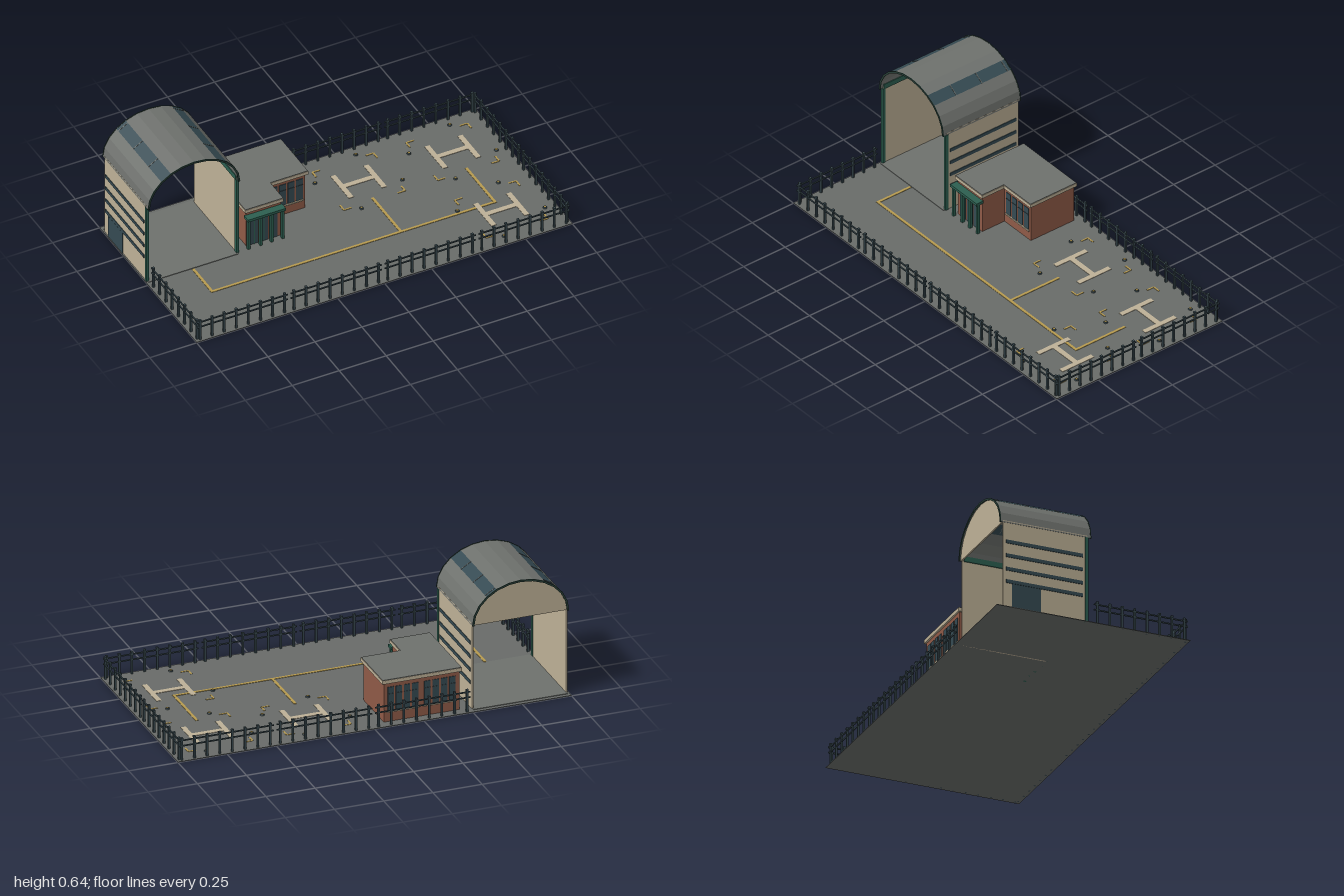
import * as THREE from 'three';

const mat = (name, color) => {
  const m = new THREE.MeshStandardMaterial({ color });
  m.name = name;
  return m;
};

export function createModel() {
  const M = {
    tarmac: mat('tarmac', 0x686b68),
    roof: mat('roof grey', 0x6e716d),
    cream: mat('cream', 0xbdb096),
    brick: mat('brick', 0x8f5a47),
    glass: mat('dark glass', 0x354a52),
    green: mat('green steel', 0x2c5f50),
    rim: mat('dark rim', 0x263c35),
    fence: mat('fence steel', 0x37474d),
    gold: mat('yellow paint', 0xb5994f),
  };
  const root = new THREE.Group();
  root.name = 'airfield';
  const group = (name, parent = root) => {
    const g = new THREE.Group();
    g.name = name;
    parent.add(g);
    return g;
  };
  const add = (parent, name, geo, m) => {
    const mesh = new THREE.Mesh(geo, m);
    mesh.name = name;
    parent.add(mesh);
    return mesh;
  };
  // Box given by its minimum and maximum on each axis
  const box = (parent, name, m, x0, x1, y0, y1, z0, z1) => {
    const b = add(parent, name, new THREE.BoxGeometry(x1 - x0, y1 - y0, z1 - z0), m);
    b.position.set((x0 + x1) / 2, (y0 + y1) / 2, (z0 + z1) / 2);
    return b;
  };
  const extrude = (parent, name, m, pts, z0, z1) => {
    const shape = new THREE.Shape(pts.map(p => new THREE.Vector2(p[0], p[1])));
    const e = add(parent, name, new THREE.ExtrudeGeometry(shape, { depth: z1 - z0, bevelEnabled: false }), m);
    e.position.z = z0;
    return e;
  };

  // Ground
  box(root, 'ground', M.tarmac, -1, 1, 0, 0.003, -0.5, 0.5);

  // Painted lines
  const paint = group('groundMarkings');
  const mark = (m, x0, x1, z0, z1, parent = paint) => box(parent, 'paintedLine', m, x0, x1, 0.003, 0.005, z0, z1);
  mark(M.gold, -0.762, -0.748, -0.01, 0.178);
  mark(M.gold, -0.762, 0.757, 0.178, 0.192);
  for (const x of [0.25, 0.75]) mark(M.gold, x - 0.007, x + 0.007, -0.11, 0.178);

  // Landing pads
  for (const [cx, cz] of [[0.25, -0.25], [0.75, -0.25], [0.75, 0.25]]) {
    const pad = group('landingPad');
    pad.position.set(cx, 0.0005, cz);
    for (const s of [-1, 1]) mark(M.cream, s * 0.088 - 0.013, s * 0.088 + 0.013, -0.095, 0.095, pad);
    mark(M.cream, -0.075, 0.075, -0.014, 0.014, pad);
    for (const sx of [-1, 1]) for (const sz of [-1, 1]) {
      const X = sx * 0.163, Z = sz * 0.163, x2 = X - sx * 0.04, z2 = Z - sz * 0.04;
      mark(M.gold, Math.min(X, x2), Math.max(X, x2), Z - 0.004, Z + 0.004, pad);
      mark(M.gold, X - 0.004, X + 0.004, Math.min(Z, z2), Math.max(Z, z2), pad);
    }
    for (const [x, z] of [[-0.19, -0.083], [0.083, -0.19], [0.19, 0.083], [-0.083, 0.19]]) {
      const base = add(pad, 'padLight', new THREE.CylinderGeometry(0.009, 0.011, 0.006, 8), M.fence);
      base.position.set(x, 0.006, z);
      const lens = add(pad, 'padLightLens', new THREE.CylinderGeometry(0.006, 0.006, 0.002, 8), M.gold);
      lens.position.set(x, 0.01, z);
    }
  }

  // Hangar
  const hangar = group('hangar');
  const cx = -0.75, eave = 0.44;
  const at = (i, n, rx, ry) => {
    const a = Math.PI * i / n;
    return [cx + rx * Math.cos(a), eave + ry * Math.sin(a)];
  };
  box(hangar, 'hangarFloor', M.roof, -0.99, -0.51, 0.003, 0.006, -0.48, -0.015);
  for (const s of [-1, 1]) {
    const wx = cx + s * 0.239;
    box(hangar, 'sideWall', M.cream, wx - 0.004, wx + 0.004, 0, eave + 0.01, -0.465, -0.03);
    box(hangar, 'frontPillar', M.green, wx - 0.007, wx + 0.007, 0, eave, -0.041, -0.024);
    const rx = cx + s * 0.233;
    box(hangar, 'eaveRail', M.green, rx - 0.003, rx + 0.003, eave - 0.002, eave + 0.025, -0.455, -0.03);
    for (const y of [0.342, 0.27, 0.2, 0.135]) {
      const ox = cx + s * 0.244;
      box(hangar, 'stripWindow', M.glass, ox - 0.002, ox + 0.002, y - 0.009, y + 0.009, -0.45, -0.053);
    }
  }
  box(hangar, 'sideDoor', M.glass, -0.996, -0.992, 0.003, 0.125, -0.42, -0.27);
  // Arched roof from twelve flat panels, two of them glazed
  const N = 12, bays = [-0.478, -0.457, -0.302, -0.147, -0.012];
  for (let i = 0; i < N; i++) {
    const pts = (ro, ri) => [at(i, N, ro, ro - 0.045), at(i + 1, N, ro, ro - 0.045),
      at(i + 1, N, ri, ri - 0.045), at(i, N, ri, ri - 0.045)];
    const glazed = i === 3 || i === 8;
    extrude(hangar, 'roofPanel', glazed ? M.glass : M.roof, pts(0.244, 0.238), -0.478, -0.012);
    for (const z of [-0.48, -0.014]) extrude(hangar, 'roofRim', M.rim, pts(0.246, 0.236), z, z + 0.004);
    if (glazed) for (const z of bays.slice(1, 4))
      extrude(hangar, 'skylightBar', M.roof, pts(0.2455, 0.238), z - 0.002, z + 0.002);
  }
  // Rear gable
  const gable = [];
  for (let i = 0; i <= N; i++) gable.push(at(i, N, 0.239, 0.194));
  extrude(hangar, 'rearGable', M.cream, gable, -0.471, -0.463);

  // Terminal building with an L-shaped plan
  const terminal = group('terminal');
  const lShape = (name, m, x0, x1, xm, zb, zm, zf, y0, y1) => {
    const pts = [[x0, -zf], [xm, -zf], [xm, -zm], [x1, -zm], [x1, -zb], [x0, -zb]];
    const e = extrude(terminal, name, m, pts, 0, y1 - y0);
    e.rotation.x = -Math.PI / 2;
    e.position.set(0, y0, 0);
  };
  lShape('brickWalls', M.brick, -0.45, -0.066, -0.265, -0.45, -0.19, -0.055, 0.001, 0.206);
  lShape('roofFascia', M.cream, -0.46, -0.055, -0.255, -0.46, -0.178, -0.045, 0.205, 0.223);
  lShape('roofDeck', M.roof, -0.458, -0.057, -0.257, -0.458, -0.18, -0.047, 0.223, 0.226);
  // Window row: panes with a sill, facing +z or -z
  const windows = (x0, x1, n, z, dir) => {
    const step = (x1 - x0) / n;
    for (let i = 0; i < n; i++) {
      const a = x0 + i * step + 0.005, b = x0 + (i + 1) * step - 0.005;
      box(terminal, 'window', M.glass, a, b, 0.06, 0.183, z - 0.003, z + 0.003);
      box(terminal, 'windowBar', M.fence, a, b, 0.145, 0.149, z - 0.005, z + 0.005);
    }
    const s = z + dir * 0.002;
    box(terminal, 'windowSill', M.cream, x0, x1, 0.052, 0.059, s - 0.005, s + 0.005);
  };
  windows(-0.255, -0.075, 4, -0.19, 1);
  windows(-0.435, -0.265, 4, -0.45, -1);
  windows(-0.245, -0.08, 4, -0.45, -1);
  // Entrance doors, canopy and posts
  for (const x of [-0.408, -0.357, -0.306]) {
    box(terminal, 'entranceDoor', M.glass, x - 0.021, x + 0.021, 0.004, 0.165, -0.058, -0.052);
    box(terminal, 'doorFrame', M.green, x - 0.002, x + 0.002, 0.004, 0.165, -0.058, -0.05);
  }
  box(terminal, 'canopy', M.green, -0.46, -0.258, 0.172, 0.186, -0.057, -0.016);
  for (const x of [-0.45, -0.385, -0.327, -0.268])
    box(terminal, 'canopyPost', M.green, x - 0.006, x + 0.006, 0, 0.173, -0.04, -0.024);

  // Fence sections, each half a unit long with eight posts
  const fenceSection = (x, z, turn) => {
    const f = group('fenceSection');
    f.position.set(x, 0, z);
    f.rotation.y = turn;
    for (let i = 0; i < 8; i++) {
      const px = -0.225 + i * 0.45 / 7;
      box(f, 'fencePost', M.fence, px - 0.005, px + 0.005, 0, 0.112, -0.005, 0.005);
      box(f, 'postCap', M.fence, px - 0.006, px + 0.006, 0.11, 0.119, -0.006, 0.006);
    }
    for (const y of [0.076, 0.104]) box(f, 'fenceRail', M.fence, -0.242, 0.242, y - 0.003, y + 0.003, -0.003, 0.003);
  };
  for (const x of [-0.75, -0.25, 0.25, 0.75]) {
    fenceSection(x, 0.485, 0);
    if (x > -0.5) fenceSection(x, -0.485, 0);
  }
  fenceSection(0.985, 0.25, Math.PI / 2);
  fenceSection(0.985, -0.25, Math.PI / 2);
  fenceSection(-0.985, 0.25, Math.PI / 2);

  return root;
}
